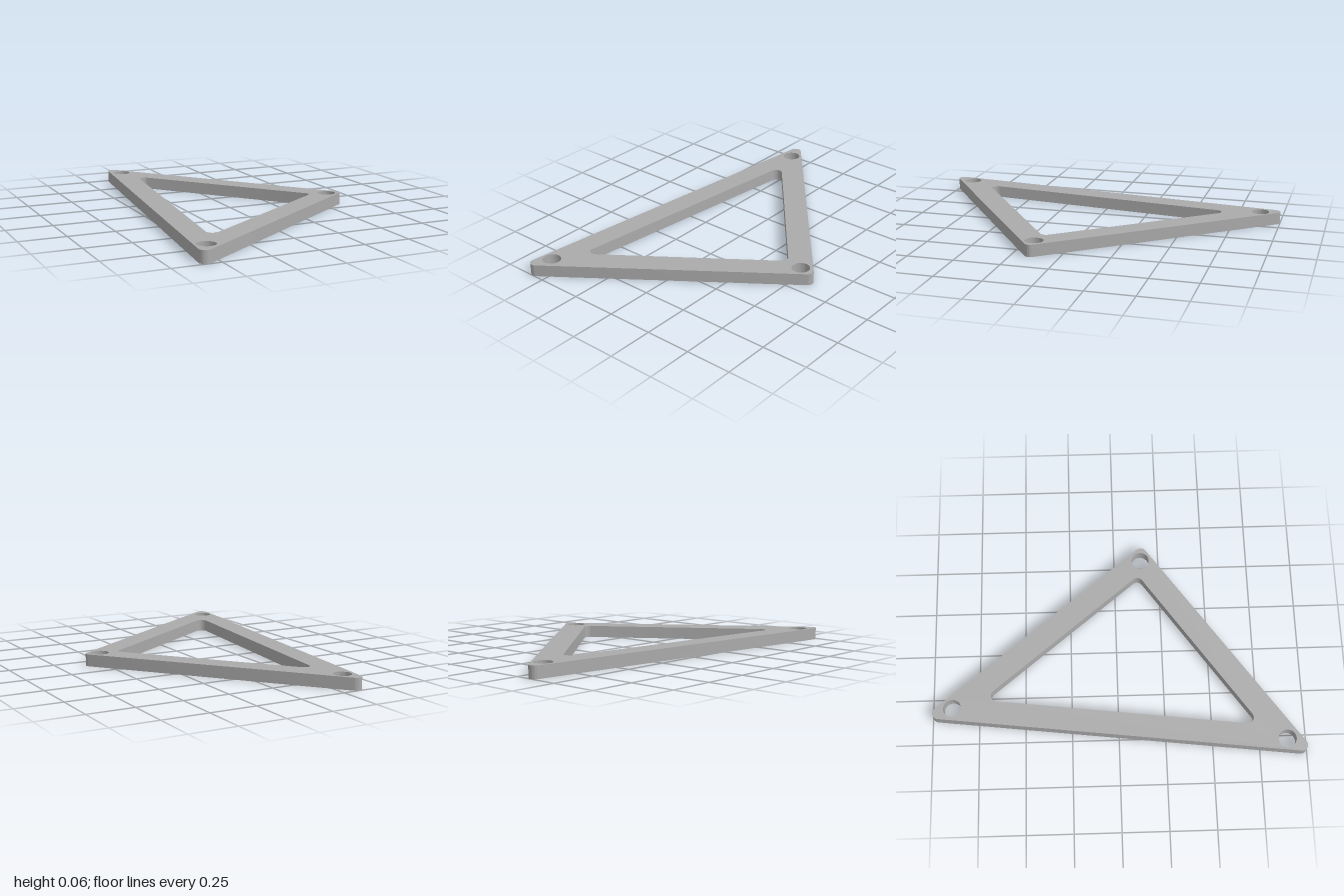
import * as THREE from 'three';
import { toCreasedNormals } from 'three/addons/utils/BufferGeometryUtils.js';

// Rounded polygon from corner-circle centres [x, z], counterclockwise from above.
function roundedPolygon(path, centres, r) {
  const n = centres.length;
  const normalAngle = (a, b) => Math.atan2(-(b[0] - a[0]), -(b[1] - a[1]));
  centres.forEach((c, i) => {
    const start = normalAngle(centres[(i + n - 1) % n], c);
    const end = normalAngle(c, centres[(i + 1) % n]);
    path.absarc(c[0], -c[1], r, start, end, false);
  });
  path.closePath();
  return path;
}

export function createModel() {
  const grey = new THREE.MeshStandardMaterial({ color: 0xaaaaaa });
  grey.name = 'grey';

  // Outer outline and central window
  const shape = roundedPolygon(new THREE.Shape(),
    [[-0.341, -0.968], [-0.571, 0.968], [0.569, 0.153]], 0.032);
  shape.holes.push(roundedPolygon(new THREE.Path(),
    [[-0.25, -0.652], [-0.411, 0.69], [0.385, 0.127]], 0.033));

  // Bolt holes in the corners
  for (const [x, z] of [[-0.316, -0.893], [-0.533, 0.895], [0.523, 0.148]]) {
    shape.holes.push(new THREE.Path().absarc(x, -z, 0.048, 0, Math.PI * 2, false));
  }

  // Flat plate lying on the ground
  const plate = new THREE.ExtrudeGeometry(shape, { depth: 0.065, bevelEnabled: false, curveSegments: 20 });
  plate.rotateX(-Math.PI / 2);
  const frame = new THREE.Mesh(toCreasedNormals(plate, 0.6), grey);
  frame.name = 'triangularFrame';

  const group = new THREE.Group();
  group.name = 'triangularBracket';
  group.add(frame);
  return group;
}
